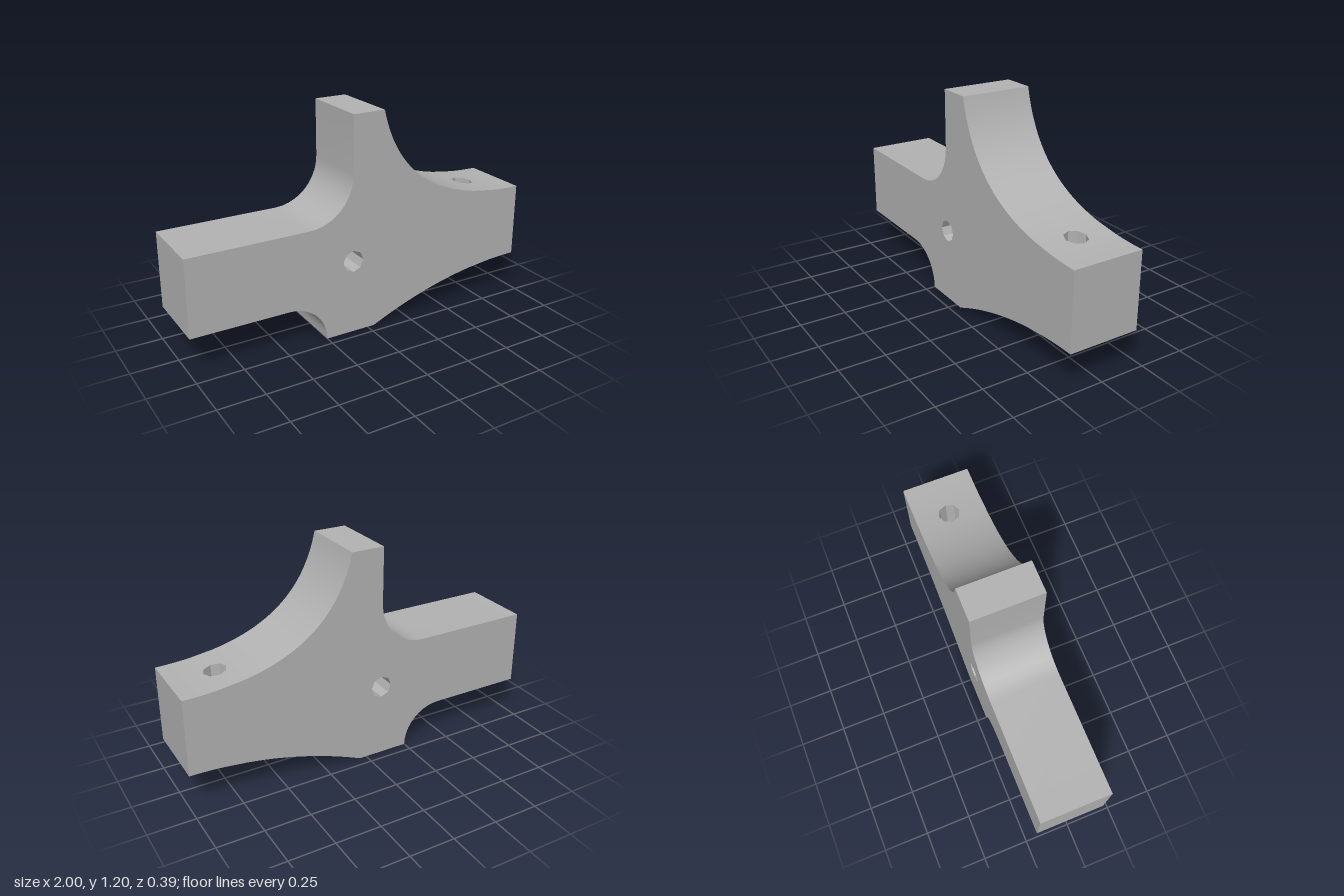
import * as THREE from 'three';
import { mergeGeometries, toCreasedNormals } from 'three/addons/utils/BufferGeometryUtils.js';

const V = (x, y) => new THREE.Vector2(x, y);
const HALF = 0.195;                // half thickness in z
const CUT_A = 0.695, CUT_B = 0.825; // slice that holds the upright bore

// Upper and lower sweeps of the right arm, running from hub to tip
const upper = new THREE.CubicBezierCurve(V(0.09, 1.195), V(0.18, 0.8), V(0.5, 0.632), V(1, 0.632));
const lower = new THREE.QuadraticBezierCurve(V(0.04, 0), V(0.52, 0.215), V(1, 0.215));

// Height of a sweep at a given x
function heightAt(curve, x) {
  let a = 0, b = 1;
  for (let i = 0; i < 40; i++) {
    const m = (a + b) / 2;
    if (curve.getPoint(m).x < x) a = m; else b = m;
  }
  return curve.getPoint(a).y;
}

// Points of a sweep between two x values, with exact ends
function span(curve, x0, x1) {
  const inner = curve.getPoints(40).filter(p => p.x > x0 + 0.004 && p.x < x1 - 0.004);
  return [V(x0, heightAt(curve, x0)), ...inner, V(x1, heightAt(curve, x1))];
}

// Quarter-round fillet
function arc(cx, cy, r, from, to, n = 10) {
  return Array.from({ length: n + 1 }, (_, i) => {
    const t = from + (to - from) * i / n;
    return V(cx + r * Math.cos(t), cy + r * Math.sin(t));
  });
}

const bore = (x, y) => new THREE.Path(arc(x, y, 0.06, 0, -Math.PI * 1.75, 7));

function prism(shape, depth) {
  return new THREE.ExtrudeGeometry(shape, { depth, bevelEnabled: false, steps: 1 });
}

// Remove the inner faces where two slices meet
function openCuts(geometry) {
  const src = geometry.index ? geometry.toNonIndexed() : geometry;
  const p = src.attributes.position, kept = [];
  for (let i = 0; i < p.count; i += 3) {
    const inner = [CUT_A, CUT_B].some(c => [0, 1, 2].every(k => Math.abs(p.getX(i + k) - c) < 1e-4));
    if (!inner) for (let k = 0; k < 3; k++) kept.push(p.getX(i + k), p.getY(i + k), p.getZ(i + k));
  }
  const out = new THREE.BufferGeometry();
  out.setAttribute('position', new THREE.Float32BufferAttribute(kept, 3));
  return out;
}

export function createModel() {
  const group = new THREE.Group();
  group.name = 'bracket';
  const grey = new THREE.MeshStandardMaterial({ color: 0xb3b3b3 });
  grey.name = 'plain grey';

  // Hub, left arm, post and foot, with the cross bore
  const hubShape = new THREE.Shape([
    ...span(lower, 0.04, CUT_A),
    ...span(upper, 0.09, CUT_A).reverse(),
    V(-0.09, 1.195),
    ...arc(-0.345, 0.887, 0.255, 0, -Math.PI / 2),
    V(-1, 0.632),
    V(-1, 0.215),
    ...arc(-0.465, 0, 0.215, Math.PI / 2, 0),
  ]);
  hubShape.holes.push(bore(-0.09, 0.41));
  const hub = prism(hubShape, HALF * 2).translate(0, 0, -HALF);

  // Tip of the right arm
  const tipShape = new THREE.Shape([...span(lower, CUT_B, 1), ...span(upper, CUT_B, 1).reverse()]);
  const tip = prism(tipShape, HALF * 2).translate(0, 0, -HALF);

  // Slice with the upright bore, its ends bent to follow the sweeps
  const sliceShape = new THREE.Shape([
    V(CUT_A, -HALF), V(CUT_B, -HALF), V(CUT_B, HALF), V(CUT_A, HALF),
  ]);
  sliceShape.holes.push(bore(0.76, 0.005));
  const slice = prism(sliceShape, 1).rotateX(-Math.PI / 2);
  const p = slice.attributes.position;
  for (let i = 0; i < p.count; i++) {
    p.setY(i, heightAt(p.getY(i) > 0.5 ? upper : lower, p.getX(i)));
  }

  const body = toCreasedNormals(mergeGeometries([hub, slice, tip].map(openCuts)), 0.35);
  const mesh = new THREE.Mesh(body, grey);
  mesh.name = 'bracketBody';
  group.add(mesh);
  return group;
}
